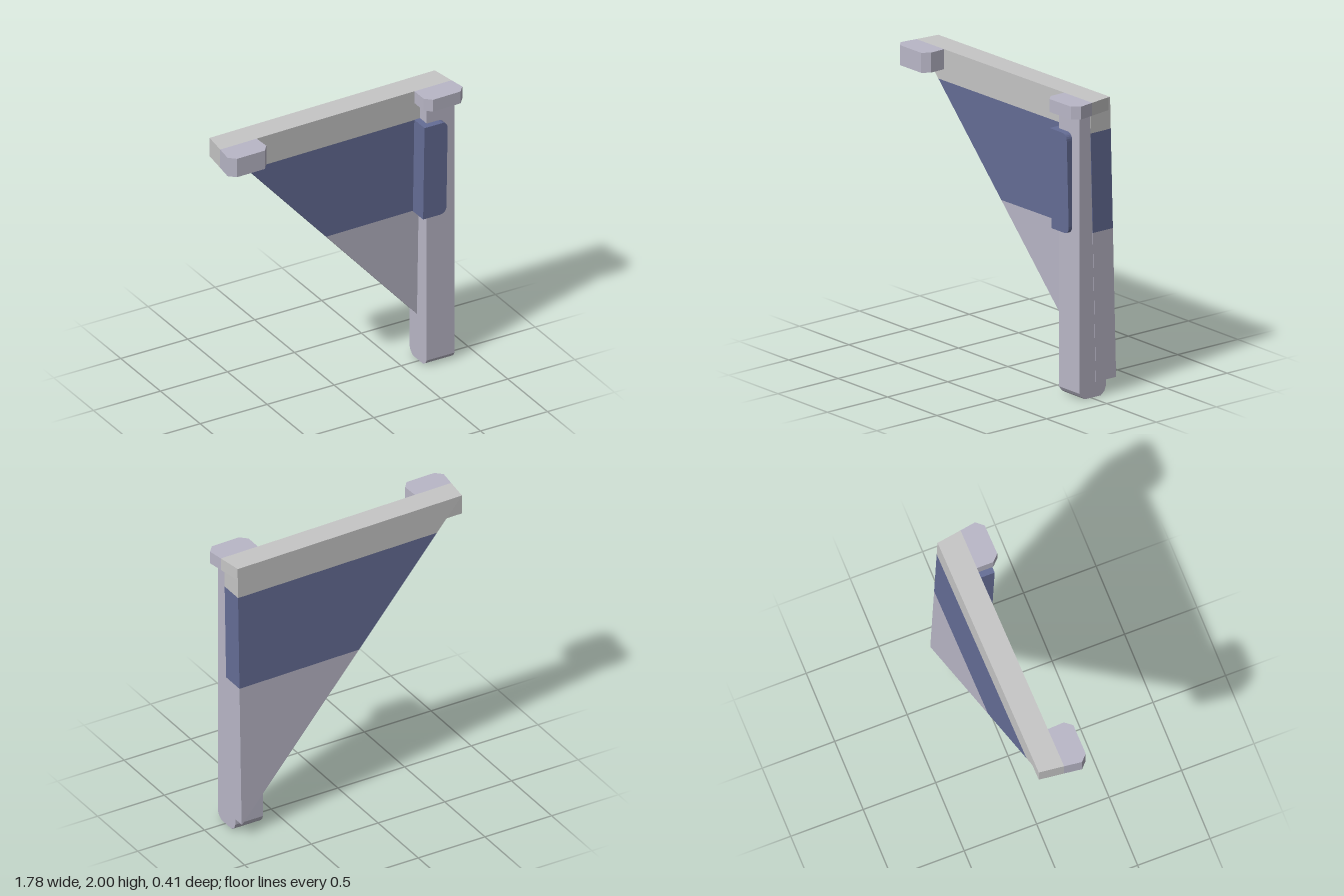
import * as THREE from 'three';

const mat = (name, color) => {
  const m = new THREE.MeshStandardMaterial({ color });
  m.name = name;
  return m;
};

export function createModel() {
  const lavender = mat('lavender', 0xb9b7c7);
  const grey = mat('light grey', 0xc6c6c6);
  const blue = mat('slate blue', 0x656d96);
  const model = new THREE.Group();

  const add = (name, geometry, material) => {
    const mesh = new THREE.Mesh(geometry, material);
    mesh.name = name;
    model.add(mesh);
  };
  const extrude = (points, depth) => new THREE.ExtrudeGeometry(
    new THREE.Shape(points.map(([a, b]) => new THREE.Vector2(a, b))),
    { depth, bevelEnabled: false });

  // Triangular panel: slightly tilted slab, cut into colour bands
  const backZ = (x, y) => -0.125 - 0.0177 * (x + 0.855) - 0.0263 * (2 - y);
  const diagonalX = y => -0.855 + (2 - y) * 0.892;
  const right = 0.845;
  const band = (name, y0, y1, material) => {
    const g = extrude([[diagonalX(y0), y0], [right, y0], [right, y1], [diagonalX(y1), y1]], 1);
    const p = g.attributes.position;
    for (let i = 0; i < p.count; i++) {
      p.setZ(i, backZ(p.getX(i), p.getY(i)) + 0.167 * p.getZ(i));
    }
    g.computeVertexNormals();
    add(name, g, material);
  };
  band('topRail', 1.785, 2, grey);
  band('middlePanel', 1.11, 1.785, blue);
  band('lowerPanel', 0.1, 1.11, lavender);

  // Upright post with a chamfered foot, profile drawn in (-z, y)
  const post = extrude([[-0.095, 1.95], [-0.095, 0.045], [-0.08, 0.02], [-0.05, 0],
    [0.08, 0], [0.11, 0.025], [0.122, 0.055], [0.122, 0.12], [0.122, 1.95]], 0.207);
  post.rotateY(Math.PI / 2).translate(0.635, 0, 0);
  add('post', post, lavender);

  // End blocks, outlines drawn in (x, z) and raised to the top
  const block = (name, outline, bottom, material) => {
    const g = extrude(outline.map(([x, z]) => [x, -z]), 2 - bottom);
    add(name, g.rotateX(-Math.PI / 2).translate(0, bottom, 0), material);
  };
  block('rightEndBlock', [[0.59, 0.017], [0.869, 0.013], [0.886, 0.12], [0.843, 0.17],
    [0.635, 0.175], [0.59, 0.13]], 1.913, lavender);
  block('rightEndBlockRear', [[0.59, -0.148], [0.843, -0.155], [0.869, 0.013], [0.59, 0.017]], 1.913, grey);
  block('leftEndBlock', [[-0.875, 0.042], [-0.89, 0.16], [-0.845, 0.203], [-0.635, 0.2],
    [-0.595, 0.15], [-0.6, 0.037]], 1.865, lavender);
  block('leftEndBlockRear', [[-0.855, -0.125], [-0.875, 0.042], [-0.6, 0.037], [-0.73, -0.127]], 1.865, grey);

  // Rounded clip on the post, leaning forward towards its top
  const r = 0.05, x0 = 0.592, x1 = 0.765, y0 = 1.107, y1 = 1.787;
  const outline = new THREE.Shape();
  outline.moveTo(x0, y0);
  outline.lineTo(x1 - r, y0);
  outline.quadraticCurveTo(x1, y0, x1, y0 + r);
  outline.lineTo(x1, y1 - r);
  outline.quadraticCurveTo(x1, y1, x1 - r, y1);
  outline.lineTo(x0, y1);
  const clip = new THREE.ExtrudeGeometry(outline, { depth: 0.14, bevelEnabled: false, curveSegments: 6 });
  const cp = clip.attributes.position;
  for (let i = 0; i < cp.count; i++) {
    cp.setZ(i, cp.getZ(i) - 0.0263 * (y1 - cp.getY(i)));
  }
  clip.computeVertexNormals();
  add('clip', clip, blue);

  return model;
}
